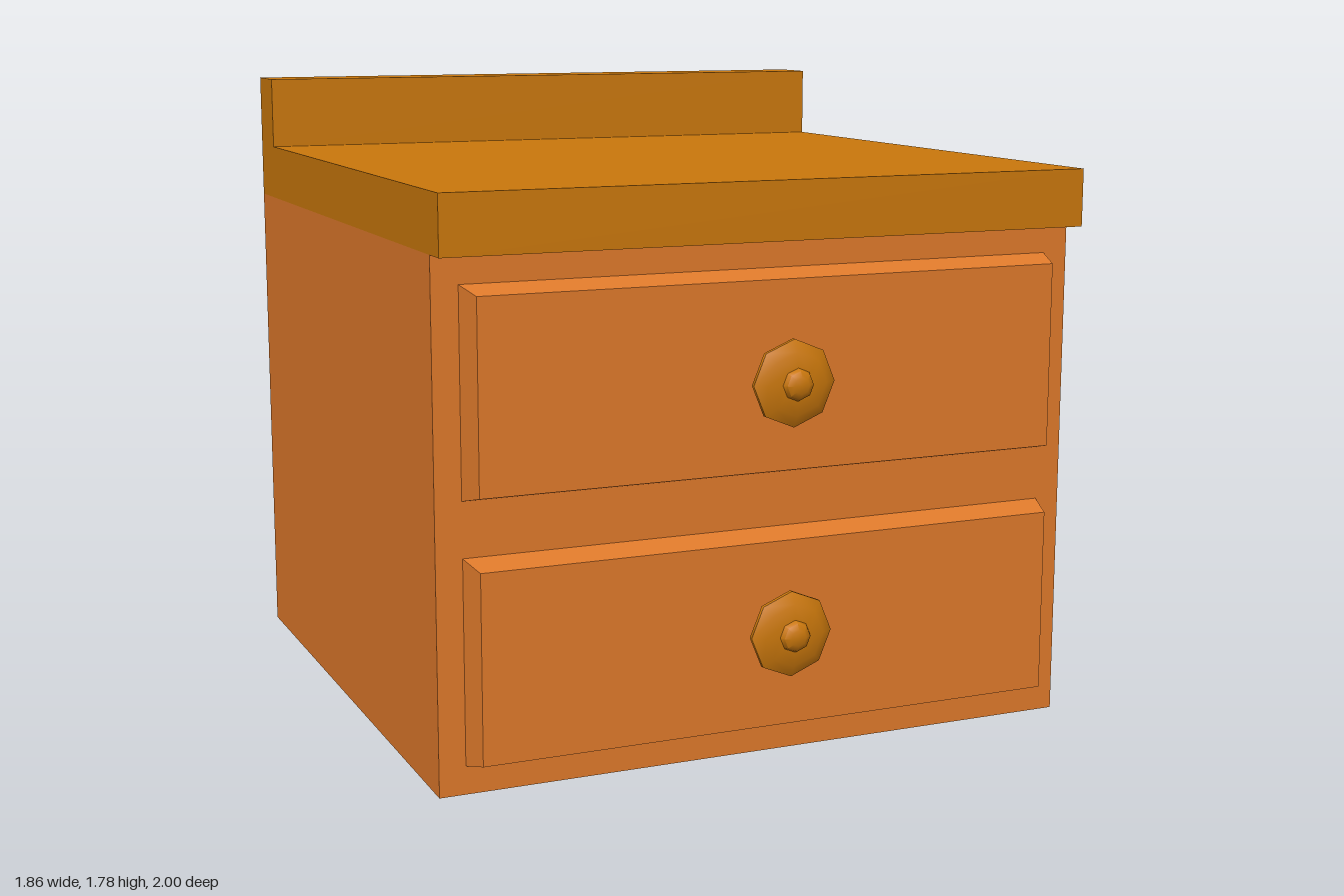
import * as THREE from 'three';
import { toCreasedNormals } from 'three/addons/utils/BufferGeometryUtils.js';

const bodyMat = new THREE.MeshStandardMaterial({ color: 0xe07a2b });
const topMat = new THREE.MeshStandardMaterial({ color: 0xcb780c });

const WIDTH = 1.86;

function part(name, geometry, material, x = 0, y = 0, z = 0) {
  const mesh = new THREE.Mesh(geometry, material);
  mesh.name = name;
  mesh.position.set(x, y, z);
  return mesh;
}

// Box whose front face is inset on all four sides
function beveledPanel(w, h, d, inset) {
  const g = new THREE.BoxGeometry(w, h, d);
  const p = g.attributes.position;
  for (let i = 0; i < p.count; i++) {
    if (p.getZ(i) < 0) continue;
    p.setX(i, p.getX(i) - Math.sign(p.getX(i)) * inset);
    p.setY(i, p.getY(i) - Math.sign(p.getY(i)) * inset);
  }
  return toCreasedNormals(g, 0.1);
}

// L-shaped side profile of the top slab and its raised back rail
function worktop() {
  const profile = [[-0.865, 1.415], [1, 1.415], [1, 1.785], [0.845, 1.785], [0.845, 1.575], [-0.865, 1.575]];
  const shape = new THREE.Shape(profile.map(([x, y]) => new THREE.Vector2(x, y)));
  const g = new THREE.ExtrudeGeometry(shape, { depth: WIDTH, bevelEnabled: false });
  g.translate(0, 0, -WIDTH / 2);
  g.rotateY(Math.PI / 2);
  return g;
}

// Eight-sided turned knob: stem, wide disc and small domed centre, pointing to +z
function knob() {
  const profile = [
    [0.043, 0], [0.043, 0.056], [0.082, 0.056], [0.117, 0.073], [0.117, 0.085],
    [0.085, 0.103], [0.044, 0.107], [0.038, 0.121], [0.022, 0.13], [0, 0.13],
  ];
  const g = new THREE.LatheGeometry(profile.map(([r, h]) => new THREE.Vector2(r, h)), 8);
  g.rotateX(Math.PI / 2);
  return toCreasedNormals(g, 0.85);
}

export function createModel() {
  const model = new THREE.Group();
  model.name = 'nightstand';
  model.add(part('cabinetBody', new THREE.BoxGeometry(WIDTH, 1.415, 1.79), bodyMat, 0, 0.7075, -0.105));
  model.add(part('worktop', worktop(), topMat));

  // Two identical drawers
  [['lowerDrawer', 0.355, 0.378], ['upperDrawer', 1.06, 1.054]].forEach(([name, y, knobY]) => {
    const drawer = new THREE.Group();
    drawer.name = name;
    drawer.add(part('drawerFront', beveledPanel(1.714, 0.555, 0.08, 0.021), bodyMat, 0, y, 0.83));
    drawer.add(part('drawerKnob', knob(), topMat, 0, knobY, 0.87));
    model.add(drawer);
  });
  return model;
}
